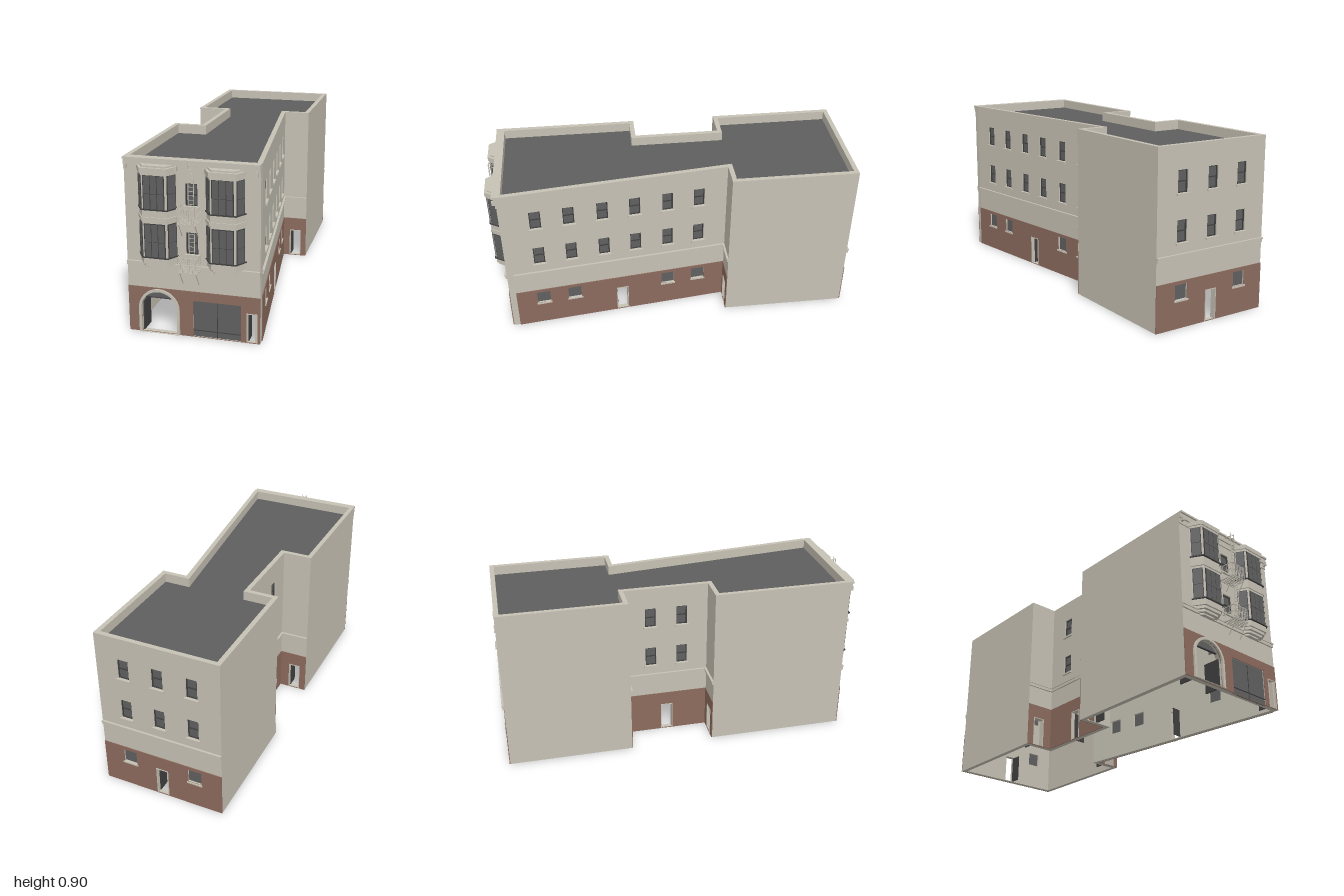
import * as THREE from 'three';

const mat = (name, color, side = THREE.FrontSide) => {
  const m = new THREE.MeshStandardMaterial({ color, side });
  m.name = name;
  return m;
};

export function createModel() {
  const stone = mat('stone', 0xc6c1b4);
  const brick = mat('brick', 0x8c6b5e);
  const glass = mat('glass', 0x606060, THREE.DoubleSide);
  const roofing = mat('roofing', 0x5e5e5e, THREE.DoubleSide);
  const dark = mat('darkFrame', 0x404040);

  const H = 0.9, BRICK = 0.24, T = 0.025, SKIN = 0.004;
  const model = new THREE.Group();
  model.name = 'building';

  const add = (parent, name, geo, material) => {
    const m = new THREE.Mesh(geo, material);
    m.name = name;
    parent.add(m);
    return m;
  };
  // Box given by its limits
  const box = (parent, name, material, x0, x1, y0, y1, z0, z1) => {
    const m = add(parent, name, new THREE.BoxGeometry(x1 - x0, y1 - y0, z1 - z0), material);
    m.position.set((x0 + x1) / 2, (y0 + y1) / 2, (z0 + z1) / 2);
    return m;
  };
  const extrude = (shape, depth, z) =>
    new THREE.ExtrudeGeometry(shape, { depth, bevelEnabled: false, curveSegments: 16 }).translate(0, 0, z);
  const outline = (Type, pts) => new Type(pts.map(([x, y]) => new THREE.Vector2(x, y)));
  const rectPts = (x0, x1, y0, y1) => [[x0, y0], [x1, y0], [x1, y1], [x0, y1]];
  const archPath = (Type, cx, r, spring, y0) => {
    const p = new Type();
    p.moveTo(cx - r, y0);
    p.lineTo(cx + r, y0);
    p.lineTo(cx + r, spring);
    p.absarc(cx, spring, r, 0, Math.PI, false);
    p.lineTo(cx - r, y0);
    return p;
  };
  const hole = o => o.kind === 'arch'
    ? archPath(THREE.Path, o.u, o.w / 2, o.spring, o.y0)
    : outline(THREE.Path, rectPts(o.u - o.w / 2, o.u + o.w / 2, o.y0, o.y1));

  // Openings, placed by their centre along the wall
  const sash = (u, y0) => ({ kind: 'sash', u, w: 0.06, y0, y1: y0 + 0.11 });
  const sashPair = u => [sash(u, 0.43), sash(u, 0.67)];
  const low = u => ({ kind: 'low', u, w: 0.075, y0: 0.145, y1: 0.222 });
  const door = (u, w = 0.068, y1 = 0.165) => ({ kind: 'door', u, w, y0: 0.003, y1 });

  // Frame, glass and trim that fill an opening
  function fitOut(g, o) {
    const a = o.u - o.w / 2, b = o.u + o.w / 2, f = 0.005;
    if (o.kind === 'sash') {
      box(g, 'windowGlass', glass, a, b, o.y0, o.y1, -0.016, -0.012);
      box(g, 'windowJamb', dark, a, a + f, o.y0, o.y1, -0.012, -0.006);
      box(g, 'windowJamb', dark, b - f, b, o.y0, o.y1, -0.012, -0.006);
      for (const y of [o.y0, (o.y0 + o.y1) / 2 - f / 2, o.y1 - f])
        box(g, 'windowRail', dark, a, b, y, y + f, -0.012, -0.007);
      box(g, 'windowSill', stone, a - 0.008, b + 0.008, o.y0 - 0.01, o.y0, -0.01, 0.01);
    } else if (o.kind === 'low') {
      box(g, 'lowWindowGlass', glass, a, b, o.y0, o.y1, -0.012, -0.008);
      box(g, 'lowWindowSill', stone, a - 0.005, b + 0.005, o.y0 - 0.008, o.y0, -0.01, 0.009);
    } else if (o.kind === 'door') {
      for (const x of [a, b - 0.004]) box(g, 'doorJamb', stone, x, x + 0.004, 0, o.y1, -T, 0.007);
      box(g, 'doorHead', stone, a, b, o.y1 - 0.004, o.y1, -T, 0.007);
      box(g, 'openDoorLeaf', dark, a + 0.004, a + 0.008, 0.003, o.y1 - 0.006, -T - o.w * 0.8, -T + 0.01);
    } else if (o.kind === 'shop') {
      box(g, 'shopGlass', glass, a, b, 0, o.y1, -0.01, -0.004);
      box(g, 'shopSillRail', dark, a, b, 0.033, 0.036, -0.004, 0);
      box(g, 'shopMullion', dark, o.u - 0.0015, o.u + 0.0015, 0, o.y1, -0.004, -0.002);
    } else if (o.kind === 'arch') {
      const r = o.w / 2, ring = archPath(THREE.Shape, o.u, r + 0.013, o.spring, 0.001);
      ring.holes.push(archPath(THREE.Path, o.u, r, o.spring, 0.002));
      add(g, 'archSurround', extrude(ring, 0.016, -0.002), stone);
      const t = 0.63, fan = new THREE.Shape();
      fan.absarc(o.u, o.spring, r, t, Math.PI - t, false);
      add(g, 'archFanlight', extrude(fan, 0.004, -0.016), glass);
      const y = o.spring + r * Math.sin(t);
      box(g, 'archTransom', dark, o.u - r * 0.81, o.u + r * 0.81, y - 0.003, y + 0.001, -0.018, -0.008);
      for (const s of [-1, 1])
        box(g, 'openGateLeaf', dark, o.u + s * (r - 0.004) - 0.003, o.u + s * (r - 0.004) + 0.003,
          0.003, 0.158, -0.1, -0.01);
    }
  }

  // Footprint corners (x, z), and walls running from each corner to the next
  const P = [[-0.34, 0.915], [0.33, 0.915], [0.33, 0.88], [0.19, -0.31], [0.33, -0.31], [0.33, -0.99],
    [-0.34, -0.99], [-0.34, -0.31], [-0.18, -0.31], [-0.18, 0.155], [-0.34, 0.155]];
  const concave = [3, 8, 9];
  const slant = z => (0.88 - z) * 1.0069;
  const frontU = x => x + 0.34;
  const openings = {
    0: [{ kind: 'arch', u: frontU(-0.18), w: 0.184, spring: 0.13, y0: 0.003, y1: 0.222 },
      { kind: 'shop', u: frontU(0.115), w: 0.242, y0: 0.002, y1: 0.192 },
      door(frontU(0.291), 0.054, 0.156), sash(frontU(-0.006), 0.432), sash(frontU(-0.006), 0.675)],
    2: [...[0.73, 0.555, 0.375, 0.2, 0.02, -0.155].flatMap(z => sashPair(slant(z))),
      ...[0.73, 0.555, 0.02, -0.155].map(z => low(slant(z))), door(slant(0.285))],
    3: [door(0.075)],
    5: [...[0.15, 0.335, 0.52].flatMap(sashPair), low(0.15), low(0.52), door(0.335)],
    7: [door(0.07)],
    8: [...sashPair(0.145), ...sashPair(0.32), door(0.232)],
    9: [door(0.09)],
  };

  P.forEach((p, i) => {
    const q = P[(i + 1) % P.length];
    const dx = q[0] - p[0], dz = q[1] - p[1], L = Math.hypot(dx, dz);
    const g = new THREE.Group();
    g.name = 'wall' + (i + 1);
    g.position.set(p[0], 0, p[1]);
    g.rotation.y = Math.atan2(-dz, dx);
    model.add(g);
    const holes = openings[i] || [];
    // Inner corners need the wall to run on by its thickness
    const s = concave.includes(i) ? -T : 0;
    const e = concave.includes((i + 1) % P.length) ? L + T : L;
    const body = outline(THREE.Shape, rectPts(s, e, 0, H));
    body.holes.push(...holes.map(hole));
    add(g, 'wallBody', extrude(body, T, -T), stone);
    if (!openings[i]) return;
    const facing = outline(THREE.Shape, rectPts(0, L, 0, BRICK));
    facing.holes.push(...holes.filter(o => o.y0 < BRICK).map(hole));
    add(g, 'brickFacing', extrude(facing, SKIN, 0), brick);
    box(g, 'beltCourse', stone, 0, L, 0.352, 0.368, 0, 0.008);
    box(g, 'beltCap', stone, 0, L, 0.368, 0.376, 0, 0.012);
    holes.forEach(o => fitOut(g, o));
  });

  // Flat roof behind the parapet
  const roofPts = [[-0.33, 0.905], [0.32, 0.905], [0.32, 0.88], [0.18, -0.32], [0.32, -0.32], [0.32, -0.98],
    [-0.33, -0.98], [-0.33, -0.32], [-0.17, -0.32], [-0.17, 0.165], [-0.33, 0.165]];
  const roof = add(model, 'flatRoof',
    new THREE.ShapeGeometry(outline(THREE.Shape, roofPts.map(([x, z]) => [x, -z]))), roofing);
  roof.rotation.x = -Math.PI / 2;
  roof.position.y = 0.85;

  // Front cornice
  const front = new THREE.Group();
  front.name = 'frontDetails';
  front.position.z = 0.915;
  model.add(front);
  box(front, 'corniceTop', stone, -0.34, 0.33, 0.89, 0.9, 0, 0.02);
  box(front, 'corniceMiddle', stone, -0.34, 0.33, 0.862, 0.89, 0, 0.012);
  box(front, 'corniceFascia', stone, -0.34, 0.33, 0.832, 0.862, 0, 0.005);
  for (const x of [-0.326, -0.075, 0.06, 0.316]) box(front, 'corniceBracket', stone, x - 0.005, x + 0.005, 0.845, 0.868, 0, 0.022);

  // Bay windows
  const HB = 0.095, HF = 0.06, D = 0.055;
  function bay(cx) {
    const g = new THREE.Group();
    g.name = 'bayWindow';
    g.position.x = cx;
    front.add(g);
    const band = (name, y0, y1, grow, material = stone) => {
      const b = HB + grow, f = HF + grow * 0.7, d = D + grow;
      const geo = extrude(outline(THREE.Shape, [[-b, 0], [-f, -d], [f, -d], [b, 0]].reverse()), y1 - y0, 0);
      const m = add(g, name, geo.rotateX(-Math.PI / 2), material);
      m.position.y = y0;
    };
    band('bayBody', 0.385, 0.855, 0);
    band('bayCorbelLow', 0.35, 0.358, -0.036);
    band('bayCorbelMiddle', 0.358, 0.37, -0.02);
    band('bayCorbelTop', 0.37, 0.386, -0.008);
    band('bayMiddleBand', 0.604, 0.622, 0.005);
    band('bayCorniceLow', 0.828, 0.84, 0.004);
    band('bayCornice', 0.84, 0.864, 0.009);
    band('bayCap', 0.864, 0.872, -0.005);
    // Glazing on the front and the two canted faces
    const side = Math.hypot(HB - HF, D), turn = Math.atan2(D, HB - HF);
    const faces = [[0, D, 0, 0.106, 3], [(HB + HF) / 2, D / 2, turn, side * 0.8, 1],
      [-(HB + HF) / 2, D / 2, -turn, side * 0.8, 1]];
    for (const y0 of [0.42, 0.66]) {
      const y1 = y0 + 0.17, ym = y0 + 0.078;
      band('baySill', y0 - 0.003, y0 + 0.002, 0.007, dark);
      for (const [x, z, ry, w, cols] of faces) {
        const f = new THREE.Group();
        f.name = 'bayGlazing';
        f.position.set(x, 0, z);
        f.rotation.y = ry;
        g.add(f);
        box(f, 'bayFrame', dark, -w / 2, w / 2, y0, y1, 0, 0.003);
        const step = (w - 0.004) / cols;
        for (let c = 0; c < cols; c++) {
          const a = -w / 2 + 0.002 + c * step;
          for (const [b, t] of [[y0 + 0.004, ym - 0.0015], [ym + 0.0015, y1 - 0.004]])
            box(f, 'bayPane', glass, a + 0.002, a + step - 0.002, b, t, 0.002, 0.005);
        }
      }
    }
  }
  [-0.173, 0.162].forEach(bay);

  // Fire escape: two railed landings joined by ladders
  const escape = new THREE.Group();
  escape.name = 'fireEscape';
  model.add(escape);
  const bar = (name, a, b, w = 0.003) => {
    const A = new THREE.Vector3(...a), B = new THREE.Vector3(...b);
    const m = add(escape, name, new THREE.BoxGeometry(w, w, A.distanceTo(B)), stone);
    m.position.copy(A).add(B).multiplyScalar(0.5);
    m.lookAt(B);
  };
  const X0 = -0.053, X1 = 0.041, Z0 = 0.916, Z1 = 0.997;
  for (const y of [0.368, 0.61]) {
    for (let i = 0; i <= 7; i++) {
      const z = Z0 + (Z1 - Z0) * i / 7;
      bar('landingSlat', [X0, y, z], [X1, y, z], 0.004);
    }
    for (let i = 0; i <= 4; i++) {
      const x = X0 + (X1 - X0) * i / 4;
      bar('landingBearer', [x, y - 0.003, Z0], [x, y - 0.003, Z1]);
    }
    for (const h of [0.038, 0.074]) {
      bar('frontRail', [X0, y + h, Z1], [X1, y + h, Z1]);
      for (const x of [X0, X1]) bar('sideRail', [x, y + h, Z0], [x, y + h, Z1]);
    }
    for (let i = 0; i <= 8; i++) {
      const x = X0 + (X1 - X0) * i / 8;
      bar('baluster', [x, y, Z1], [x, y + 0.074, Z1], 0.002);
    }
    for (const x of [X0, X1]) {
      for (const z of [0.935, 0.966]) bar('sideBaluster', [x, y, z], [x, y + 0.074, z], 0.002);
      const sx = x * 0.85;
      bar('strut', [sx, y - 0.076, 0.945], [sx, y - 0.005, 0.994]);
    }
  }
  for (const x of [-0.005, 0.022]) bar('ladderRail', [x, 0.37, 0.965], [x, 0.9, 0.965]);
  for (let y = 0.385; y < 0.9; y += 0.021) bar('ladderRung', [-0.005, y, 0.965], [0.022, y, 0.965], 0.002);
  for (const x of [-0.005, 0.022]) bar('ladderTie', [x, 0.88, 0.916], [x, 0.88, 0.965]);

  return model;
}
